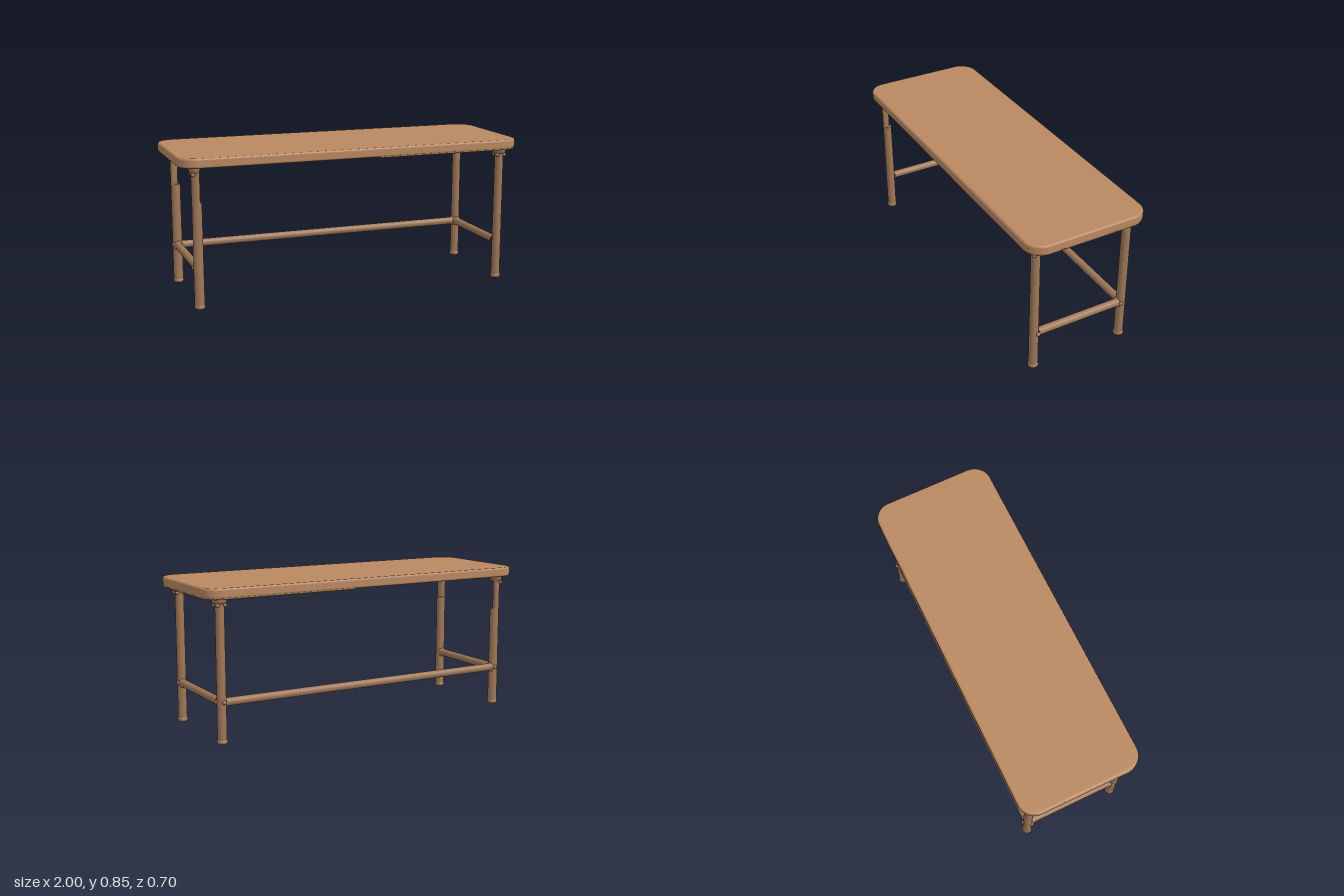
import * as THREE from 'three';

function material(name, color) {
  const m = new THREE.MeshStandardMaterial({ color });
  m.name = name;
  return m;
}
const topWood = material('topWood', 0xb98861);
const legWood = material('legWood', 0x9f7758);

function part(name, geometry, parent, x = 0, y = 0, z = 0, mat = legWood) {
  const mesh = new THREE.Mesh(geometry, mat);
  mesh.name = name;
  mesh.position.set(x, y, z);
  parent.add(mesh);
  return mesh;
}

// Rectangle with corner radius a at its x0 end and b at its x1 end
function roundedRect(x0, x1, hz, a, b) {
  const s = new THREE.Shape();
  s.moveTo(x0 + a, -hz);
  s.lineTo(x1 - b, -hz);
  s.absarc(x1 - b, -hz + b, b, -Math.PI / 2, 0);
  s.lineTo(x1, hz - b);
  s.absarc(x1 - b, hz - b, b, 0, Math.PI / 2);
  s.lineTo(x0 + a, hz);
  s.absarc(x0 + a, hz - a, a, Math.PI / 2, Math.PI);
  s.lineTo(x0, -hz + a);
  s.absarc(x0 + a, -hz + a, a, Math.PI, Math.PI * 1.5);
  return s;
}

// Horizontal board with softened edges, its underside at y = 0
function board(x0, x1, hz, a, b, thickness, bevel) {
  const shape = roundedRect(x0 + bevel, x1 - bevel, hz - bevel, a, b);
  const geometry = new THREE.ExtrudeGeometry(shape, {
    depth: thickness - 2 * bevel, bevelEnabled: true, bevelThickness: bevel, bevelSize: bevel,
    bevelSegments: 5, curveSegments: 12,
  });
  return geometry.rotateX(-Math.PI / 2).translate(0, bevel, 0);
}

function lathe(points) {
  return new THREE.LatheGeometry(points.map(([r, y]) => new THREE.Vector2(r, y)), 32);
}

// Rail along y with slightly swollen socket ends
function railGeometry(length) {
  const h = length / 2;
  return lathe([
    [0.027, -h], [0.027, -h + 0.008], [0.0225, -h + 0.014],
    [0.0225, h - 0.014], [0.027, h - 0.008], [0.027, h],
  ]);
}

function buildLeg(side, end) {
  const leg = new THREE.Group();
  leg.name = (end > 0 ? 'front' : 'back') + (side > 0 ? 'Left' : 'Right') + 'Leg';
  leg.position.set(side * 0.902, 0, end * 0.276);

  // Rounded foot
  part('foot', lathe([
    [0, 0], [0.016, 0.002], [0.026, 0.007], [0.03, 0.015], [0.029, 0.022], [0.025, 0.028],
  ]), leg);

  // Post: the right-hand legs are cut back on their inward corner above mid height
  const lowerTop = side > 0 ? 0.79 : 0.595;
  const post = part('post', new THREE.CylinderGeometry(0.0248, 0.0258, lowerTop - 0.02, 32), leg, 0, (lowerTop + 0.02) / 2);
  if (side < 0) {
    post.scale.x = 1.1;
    const upper = part('upperPost', new THREE.CylinderGeometry(0.025, 0.025, 0.2, 32), leg, -0.006, 0.695, end * 0.005);
    upper.scale.x = 0.75;
    upper.rotation.y = end * Math.PI / 4;
  }

  // Collar under the top, with small pegs below its rim
  const collar = part('collar', lathe([
    [0.024, 0.755], [0.034, 0.759], [0.038, 0.766], [0.041, 0.782], [0.041, 0.796],
  ]), leg, side < 0 ? -0.008 : 0, 0, -end * 0.004);
  if (side < 0) collar.scale.x = 0.75;
  for (const px of side > 0 ? [-1, 1] : [-1]) {
    for (const pz of [-1, 1]) {
      part('collarPeg', new THREE.SphereGeometry(0.011, 16, 12), leg, px * 0.022, 0.75, pz * 0.022);
    }
  }

  // Joint pegs where the rails meet the post
  part('endPeg', new THREE.SphereGeometry(0.0125, 16, 12), leg, side * 0.024, 0.233, -end * 0.013);
  if (end < 0) part('backPeg', new THREE.SphereGeometry(0.0125, 16, 12), leg, side * -0.005, 0.233, -0.023);
  return leg;
}

export function createModel() {
  const table = new THREE.Group();
  table.name = 'table';

  // Top slab, and the shallow thicker panel under its left half
  part('tableTop', board(-1, 1, 0.352, 0.088, 0.088, 0.055, 0.012), table, 0, 0.79, 0, topWood);
  part('undersidePanel', board(0.12, 0.997, 0.349, 0.004, 0.088, 0.03, 0.009), table, 0, 0.784, 0, topWood);

  for (const side of [-1, 1]) {
    for (const end of [-1, 1]) table.add(buildLeg(side, end));
    // Short rail joining each pair of legs
    part('sideRail', railGeometry(0.51), table, side * 0.902, 0.231, 0).rotation.x = Math.PI / 2;
  }

  // Long rail along the back
  part('backRail', railGeometry(1.77), table, 0, 0.231, -0.276).rotation.z = Math.PI / 2;
  return table;
}
